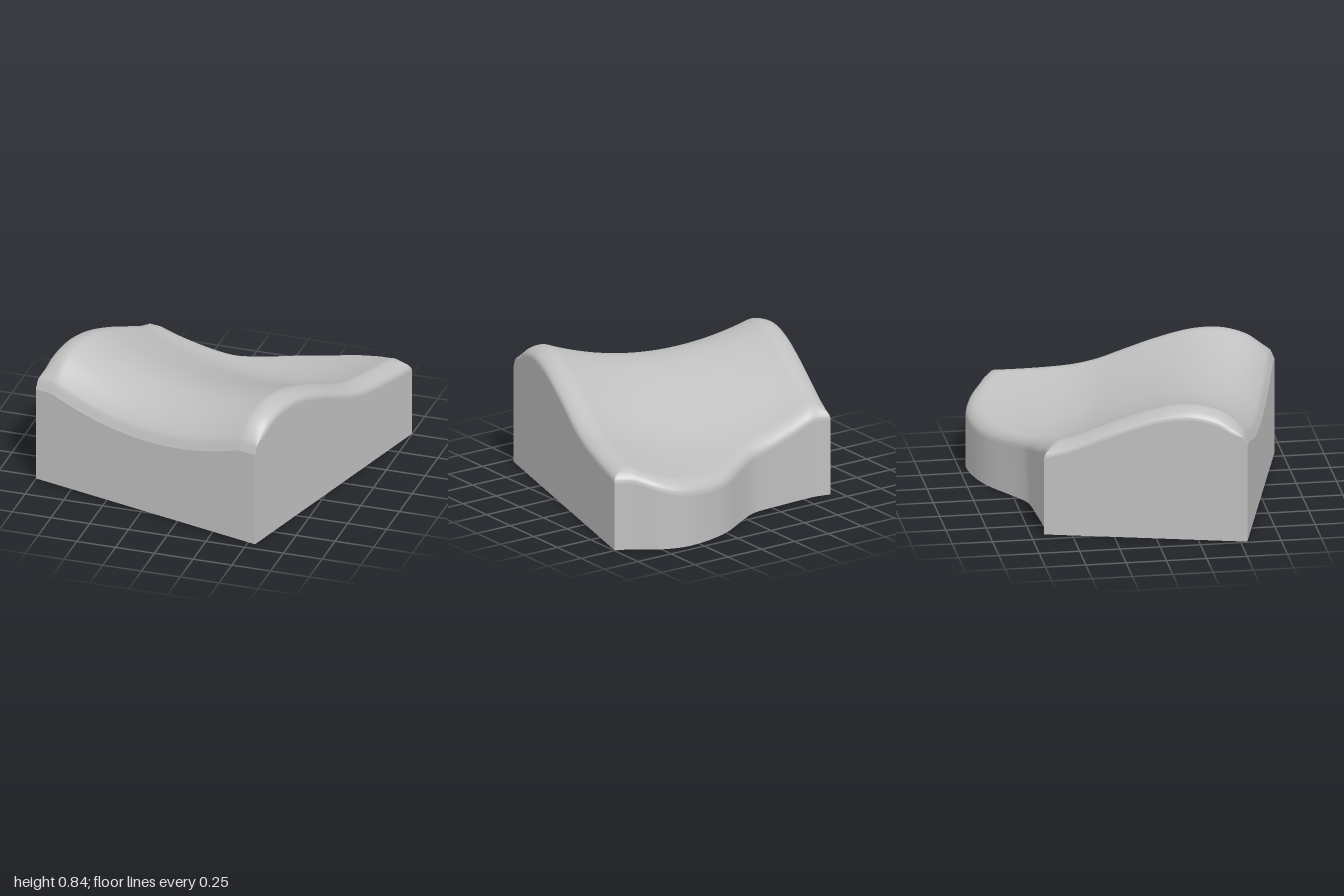
import * as THREE from 'three';

const WIDTH = 1.603, N = 72, BASE = 0.004;

// smooth curve y(x) through a few unevenly spaced points
function curve(pts) {
  const slope = pts.map((p, i) => {
    const a = pts[Math.max(i - 1, 0)], b = pts[Math.min(i + 1, pts.length - 1)];
    return (b[1] - a[1]) / (b[0] - a[0]);
  });
  return x => {
    let i = 0;
    while (i < pts.length - 2 && x > pts[i + 1][0]) i++;
    const [x0, y0] = pts[i], [x1, y1] = pts[i + 1], w = x1 - x0;
    const t = THREE.MathUtils.clamp((x - x0) / w, 0, 1), t2 = t * t, t3 = t2 * t;
    return (2 * t3 - 3 * t2 + 1) * y0 + (t3 - 2 * t2 + t) * w * slope[i]
      + (3 * t2 - 2 * t3) * y1 + (t3 - t2) * w * slope[i + 1];
  };
}

// plan depth of the wavy back, and height of the ridges from front to back
const depth = curve([[0, 1.252], [0.11, 1.261], [0.35, 1.335], [0.558, 1.41], [0.642, 1.484],
  [0.862, 1.708], [1.135, 1.848], [1.321, 1.85], [1.47, 1.796], [1.604, 1.759]]);
const ridge = curve([[0, 0.62], [0.03, 0.69], [0.13, 0.785], [0.232, 0.828], [0.366, 0.845], [0.54, 0.82],
  [0.75, 0.75], [0.955, 0.665], [1.06, 0.62], [1.16, 0.587], [1.27, 0.562], [1.47, 0.535], [1.68, 0.515], [1.9, 0.5]]);

// quarter-round drop near an edge
function rounding(dist, size, drop) {
  const k = THREE.MathUtils.clamp(1 - dist / size, 0, 1);
  return drop * (1 - Math.sqrt(1 - k * k));
}

function height(u, v) {
  const d = (u - WIDTH / 2) / 0.68;
  const valley = 0.13 * Math.max(0, 1 - d * d);
  const side = rounding(Math.min(u, WIDTH - u), 0.12, 0.065) * THREE.MathUtils.smoothstep(v, 0, 0.12);
  const back = rounding(depth(u) - v, 0.11, 0.075);
  return ridge(v) - valley - Math.max(side, back);
}

// block coordinates (u along the front, v towards the back), turned in plan
const place = (u, v, y) => [-1 + 0.967 * u + 0.256 * v, y, 0.54 + 0.256 * u - 0.967 * v];

// closer spacing towards both ends
const ease = t => t - 0.9 * Math.sin(2 * Math.PI * t) / (2 * Math.PI);

function sheet(nx, ny, point) {
  const pos = [], index = [];
  for (let j = 0; j <= ny; j++)
    for (let i = 0; i <= nx; i++) pos.push(...point(i / nx, j / ny));
  for (let j = 0; j < ny; j++)
    for (let i = 0; i < nx; i++) {
      const a = j * (nx + 1) + i, c = a + nx + 1;
      index.push(a, a + 1, c, a + 1, c + 1, c);
    }
  const g = new THREE.BufferGeometry();
  g.setAttribute('position', new THREE.Float32BufferAttribute(pos, 3));
  g.setIndex(index);
  g.computeVertexNormals();
  return g;
}

export function createModel() {
  const group = new THREE.Group();
  group.name = 'contouredBlock';
  const grey = new THREE.MeshStandardMaterial({ color: 0xc0c0c0 });
  grey.name = 'light grey';

  const add = (name, geometry) => {
    const mesh = new THREE.Mesh(geometry, grey);
    mesh.name = name;
    group.add(mesh);
    return mesh;
  };

  // saddle-shaped top
  add('saddleTop', sheet(N, N, (s, t) => {
    const u = WIDTH * ease(s), v = depth(u) * ease(t);
    return place(u, v, height(u, v));
  }));

  // upright walls follow the edge of the top
  const wall = (name, edge) => add(name, sheet(N, 1, (s, t) => {
    const [u, v] = edge(s);
    return place(u, v, t ? height(u, v) : BASE);
  }));
  wall('frontWall', s => [WIDTH * ease(s), 0]);
  wall('leftWall', s => [WIDTH, depth(WIDTH) * ease(s)]);
  wall('backWall', s => [WIDTH * ease(1 - s), depth(WIDTH * ease(1 - s))]);
  wall('rightWall', s => [0, depth(0) * ease(1 - s)]);

  // flat underside
  add('underside', sheet(N, 1, (s, t) => {
    const u = WIDTH * ease(1 - s);
    return place(u, depth(u) * t, BASE);
  }));

  // four thin round pads under the corners
  const inset = 0.107;
  for (const u of [inset, WIDTH - inset])
    for (const v of [inset, depth(u < 1 ? 0 : WIDTH) - inset]) {
      const pad = add('footPad', new THREE.CylinderGeometry(0.083, 0.083, BASE, 40));
      pad.position.set(...place(u, v, BASE / 2));
    }
  return group;
}
